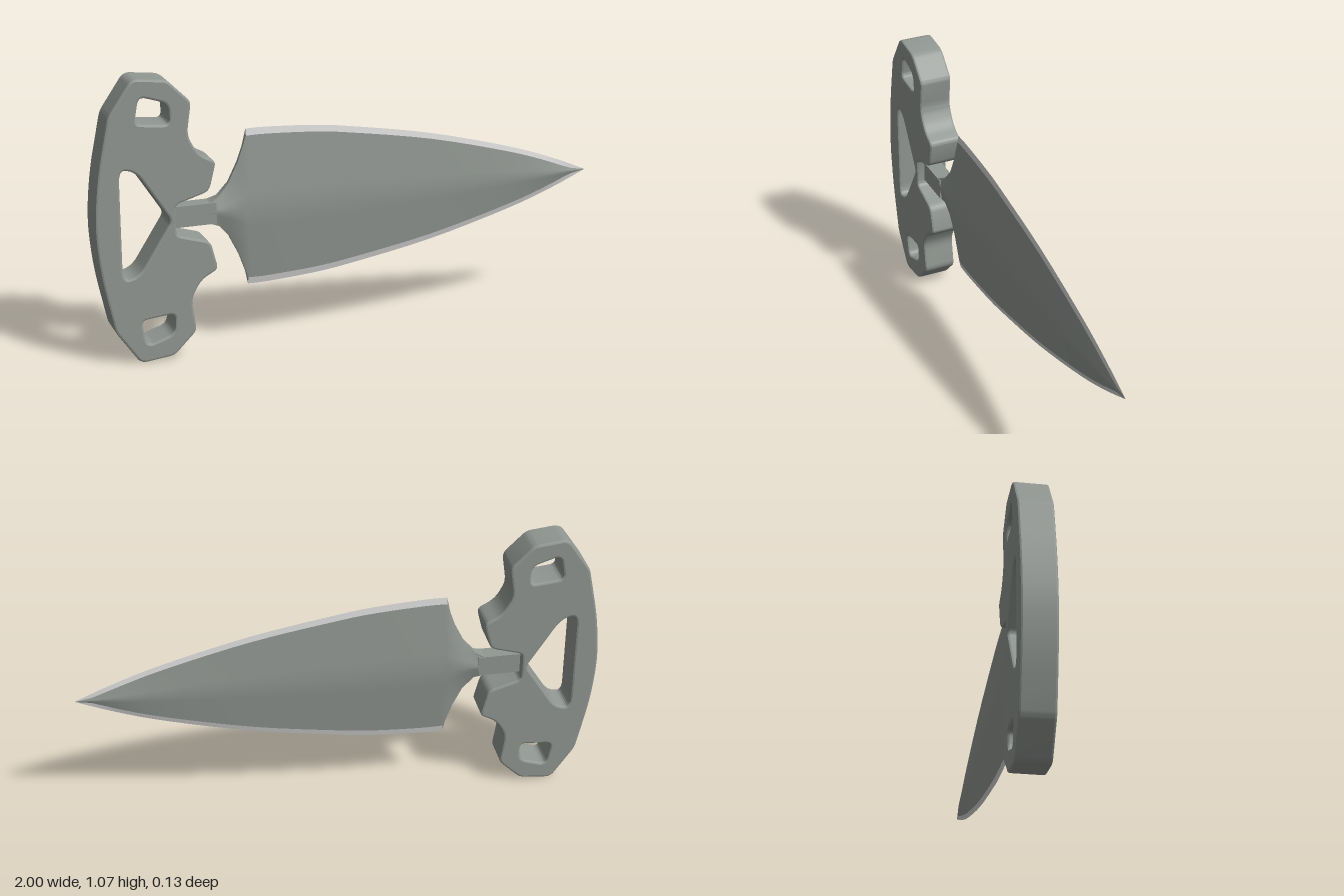
import * as THREE from 'three';
import { toCreasedNormals } from 'three/addons/utils/BufferGeometryUtils.js';

const MID = 0.534; // height of the blade's centre line

// Closed path through corners [x, y, radius], each corner rounded
function roundedPath(path, corners) {
  const n = corners.length;
  corners.forEach(([x, y, r], i) => {
    const p = new THREE.Vector2(x, y);
    const toward = ([a, b]) => {
      const d = new THREE.Vector2(a - x, b - y);
      return d.setLength(Math.min(r, d.length() * 0.45)).add(p);
    };
    const a = toward(corners[(i + n - 1) % n]);
    const b = toward(corners[(i + 1) % n]);
    if (i === 0) path.moveTo(a.x, a.y);
    else path.lineTo(a.x, a.y);
    path.quadraticCurveTo(x, y, b.x, b.y);
  });
  path.closePath();
  return path;
}

const flipY = (pts) => pts.map(([x, y, r]) => [x, -y, r]).reverse();

// Surface through a row of cross-section strips, smooth within itself
function loft(strips) {
  const cols = strips[0].length;
  const index = [];
  for (let i = 0; i < strips.length - 1; i++) {
    for (let j = 0; j < cols - 1; j++) {
      const a = i * cols + j, b = a + 1, c = b + cols, d = a + cols;
      index.push(a, b, c, a, c, d);
    }
  }
  const geo = new THREE.BufferGeometry();
  geo.setAttribute('position', new THREE.Float32BufferAttribute(strips.flat(2), 3));
  geo.setIndex(index);
  geo.computeVertexNormals();
  return geo;
}

export function createModel() {
  const steel = new THREE.MeshStandardMaterial({ color: 0x919792 });
  steel.name = 'grey steel';
  const bright = new THREE.MeshStandardMaterial({ color: 0xd6d6d6 });
  bright.name = 'bright edge';

  const model = new THREE.Group();
  model.name = 'pushDagger';
  const add = (name, geo, mat) => {
    const mesh = new THREE.Mesh(geo, mat);
    mesh.name = name;
    model.add(mesh);
    return mesh;
  };

  // Handle: mirrored clockwise outline, with counter-clockwise openings
  const half = [
    [-0.986, 0.185, 0.08], [-0.94, 0.405, 0.02], [-0.848, 0.539, 0.025],
    [-0.72, 0.525, 0.02], [-0.632, 0.438, 0.02], [-0.65, 0.315, 0.03],
    [-0.612, 0.242, 0.04], [-0.544, 0.207, 0.02], [-0.572, 0.096, 0.025],
    [-0.7, 0.058, 0.02],
  ];
  const outline = roundedPath(new THREE.Shape(), [[-1.003, 0, 0.1], ...half, ...flipY(half)]);
  const gripHalf = [[-0.905, 0.212, 0.05], [-0.843, 0.196, 0.04]];
  const grip = [...gripHalf, [-0.718, 0, 0.02], ...flipY(gripHalf)];
  const lanyard = [[-0.824, 0.473, 0.03], [-0.716, 0.438, 0.03], [-0.714, 0.36, 0.025], [-0.842, 0.373, 0.025]];
  for (const pts of [grip, lanyard, flipY(lanyard)]) {
    outline.holes.push(roundedPath(new THREE.Path(), [...pts].reverse()));
  }
  const handleGeo = new THREE.ExtrudeGeometry(outline, {
    depth: 0.114, bevelThickness: 0.008, bevelSize: 0.008, bevelOffset: -0.008,
    bevelSegments: 2, curveSegments: 6,
  });
  handleGeo.translate(0, MID, -0.057);
  add('handle', toCreasedNormals(handleGeo, 0.35), steel);

  // Tang joining handle and blade
  const tang = add('tang', new THREE.BoxGeometry(0.17, 0.08, 0.064), steel);
  tang.position.set(-0.623, MID, 0);

  // Blade stations: x, half height, half height inside the edge, spine and edge half thickness
  const neck = [
    [-0.56, 0.04, 0.04, 0.032, 0.031],
    [-0.525, 0.056, 0.056, 0.033, 0.016],
    [-0.483, 0.105, 0.105, 0.034, 0.009],
    [-0.446, 0.18, 0.18, 0.034, 0.007],
    [-0.425, 0.24, 0.24, 0.034, 0.006],
    [-0.412, 0.302, 0.276, 0.033, 0.005],
  ];
  const profile = new THREE.SplineCurve([
    [-0.412, 0.302], [-0.33, 0.302], [-0.15, 0.291], [0, 0.272], [0.33, 0.213],
    [0.66, 0.127], [0.85, 0.062], [0.997, 0],
  ].map(([x, h]) => new THREE.Vector2(x, h)));
  const blade = profile.getPoints(28).map(({ x, y }) => {
    const t = (x + 0.412) / 1.409;
    const inner = Math.max(y - 0.026 + 0.008 * t, y * 0.4);
    const spine = 0.033 - 0.019 * t;
    const taper = Math.min(1, y / 0.07);
    return [x, y, inner, spine * taper, 0.005 * taper];
  });

  // Strips across each station, ordered so that faces point outward
  const flank = ([x, , hi, t, e]) => [1, 0.6, 0.25, 0, -0.25, -0.6, -1].map((k) =>
    [x, MID + k * hi, t + (e - t) * Math.abs(k)]);
  const upperFront = ([x, h, hi, , e]) => [[x, MID + h, 0], [x, MID + hi, e]];
  const upperBack = ([x, h, hi, , e]) => [[x, MID + hi, -e], [x, MID + h, 0]];
  const upperWall = (s) => [...upperBack(s), upperFront(s)[1]];

  // Half turn about the blade axis gives the opposite face
  const addPair = (names, geo, mat) => {
    add(names[0], geo, mat);
    const turned = geo.clone().translate(0, -MID, 0).rotateX(Math.PI).translate(0, MID, 0);
    add(names[1], turned, mat);
  };
  addPair(['bladeFront', 'bladeBack'], loft([...neck.slice(0, -1), ...blade].map(flank)), steel);
  addPair(['upperShoulder', 'lowerShoulder'], loft(neck.map(upperWall)), steel);

  // Bright sharpened bevels along both cutting edges
  addPair(['upperFrontEdge', 'lowerBackEdge'], loft(blade.map(upperFront)), bright);
  addPair(['upperBackEdge', 'lowerFrontEdge'], loft(blade.map(upperBack)), bright);

  return model;
}
